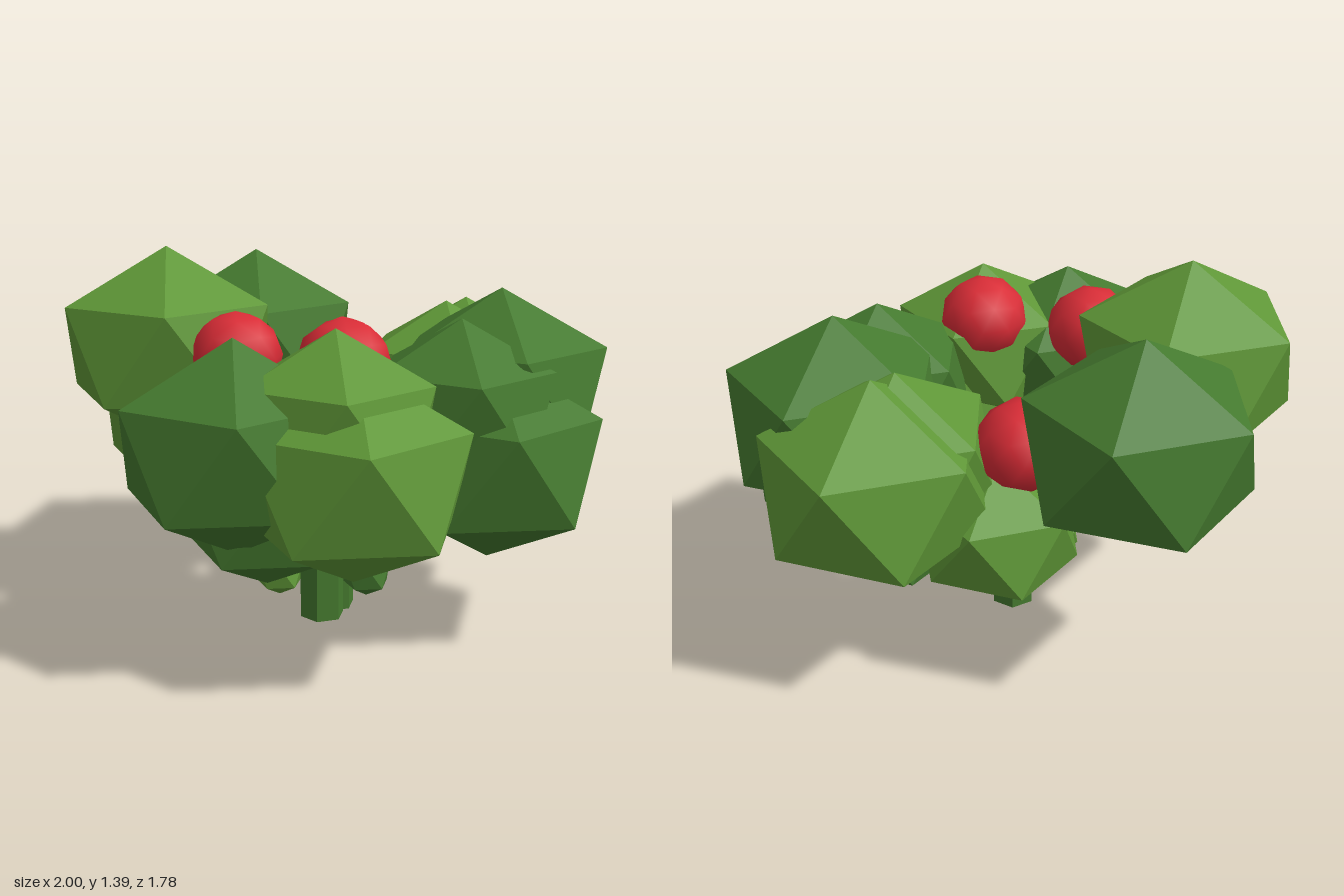
import * as THREE from 'three';

export function createModel() {
  const model = new THREE.Group();
  const material = (name, color) => {
    const m = new THREE.MeshStandardMaterial({ color });
    m.name = name;
    return m;
  };
  const light = material('light leaf green', 0x5f9737);
  const dark = material('dark leaf green', 0x457a2f);
  const red = material('berry red', 0xd92c36);

  const add = (name, geometry, mat, x, y, z) => {
    const mesh = new THREE.Mesh(geometry, mat);
    mesh.name = name;
    mesh.position.set(x, y, z);
    model.add(mesh);
    return mesh;
  };

  // Faceted leaf clump standing on a corner, slightly squashed
  const tilt = Math.atan(2 / (1 + Math.sqrt(5)));
  const clump = new THREE.IcosahedronGeometry(1, 0).rotateZ(-tilt);
  clump.computeVertexNormals();
  const leaf = (name, mat, x, y, z, ring, height) =>
    add(name, clump, mat, x, y, z).scale.set(ring / 0.894, height, ring / 0.894);

  // Outer crown
  [
    [light, -0.61, 1.015, -0.01],
    [dark, -0.41, 0.953, -0.523],
    [light, 0.455, 0.79, -0.488],
    [dark, 0.615, 0.875, -0.175],
    [dark, 0.61, 0.665, 0.055],
    [light, 0.205, 0.715, 0.525],
    [dark, -0.2, 0.785, 0.525],
  ].forEach(([mat, x, y, z], i) => leaf('outerLeaves' + (i + 1), mat, x, y, z, 0.385, 0.372));

  // Inner crown
  [
    [light, 0.13, 0.87, 0.465, 0.33, 0.32],
    [dark, 0.5, 0.855, 0.1, 0.33, 0.32],
    [light, 0.385, 0.835, -0.42, 0.33, 0.32],
    [light, -0.5, 0.77, 0.05, 0.33, 0.32],
    [dark, -0.33, 0.76, -0.3, 0.27, 0.26],
    [light, 0.055, 0.545, -0.395, 0.28, 0.265],
    [dark, -0.15, 0.49, 0.32, 0.28, 0.265],
    [dark, 0.42, 0.485, -0.31, 0.23, 0.22],
    [light, -0.34, 0.5, 0.05, 0.25, 0.235],
  ].forEach(([mat, x, y, z, r, h], i) => leaf('innerLeaves' + (i + 1), mat, x, y, z, r, h));

  // Small sprouts at the foot
  [
    [light, -0.162, 0.182, 0.1],
    [dark, 0.155, 0.168, 0.01],
    [light, 0.09, 0.265, -0.1],
  ].forEach(([mat, x, y, z], i) => leaf('sprout' + (i + 1), mat, x, y, z, 0.088, 0.09));

  // Stems
  const stem = new THREE.CylinderGeometry(0.085, 0.085, 0.5, 6).toNonIndexed();
  stem.computeVertexNormals();
  add('frontStem', stem, dark, -0.01, 0.25, 0.045);
  add('backStem', stem, dark, 0.008, 0.25, -0.065);

  // Thin branches reaching into the crown
  const up = new THREE.Vector3(0, 1, 0);
  [[-0.3, 0.05], [-0.15, 0.3], [0.38, -0.25], [0.05, -0.36]].forEach(([x, z], i) => {
    const start = new THREE.Vector3(0, 0.25, 0);
    const way = new THREE.Vector3(x, 0.5, z).sub(start);
    const geo = new THREE.CylinderGeometry(0.03, 0.04, way.length(), 6).toNonIndexed();
    geo.computeVertexNormals();
    const mid = start.addScaledVector(way, 0.5);
    add('branch' + (i + 1), geo, dark, mid.x, mid.y, mid.z)
      .quaternion.setFromUnitVectors(up, way.normalize());
  });

  // Berries
  const berry = new THREE.IcosahedronGeometry(0.165, 1).rotateZ(-tilt);
  [[-0.28, 1.035, 0.215], [0.122, 1.04, 0.3], [-0.035, 0.915, -0.458]].forEach(([x, y, z], i) =>
    add('berry' + (i + 1), berry, red, x, y, z).scale.y = 0.95);

  return model;
}
